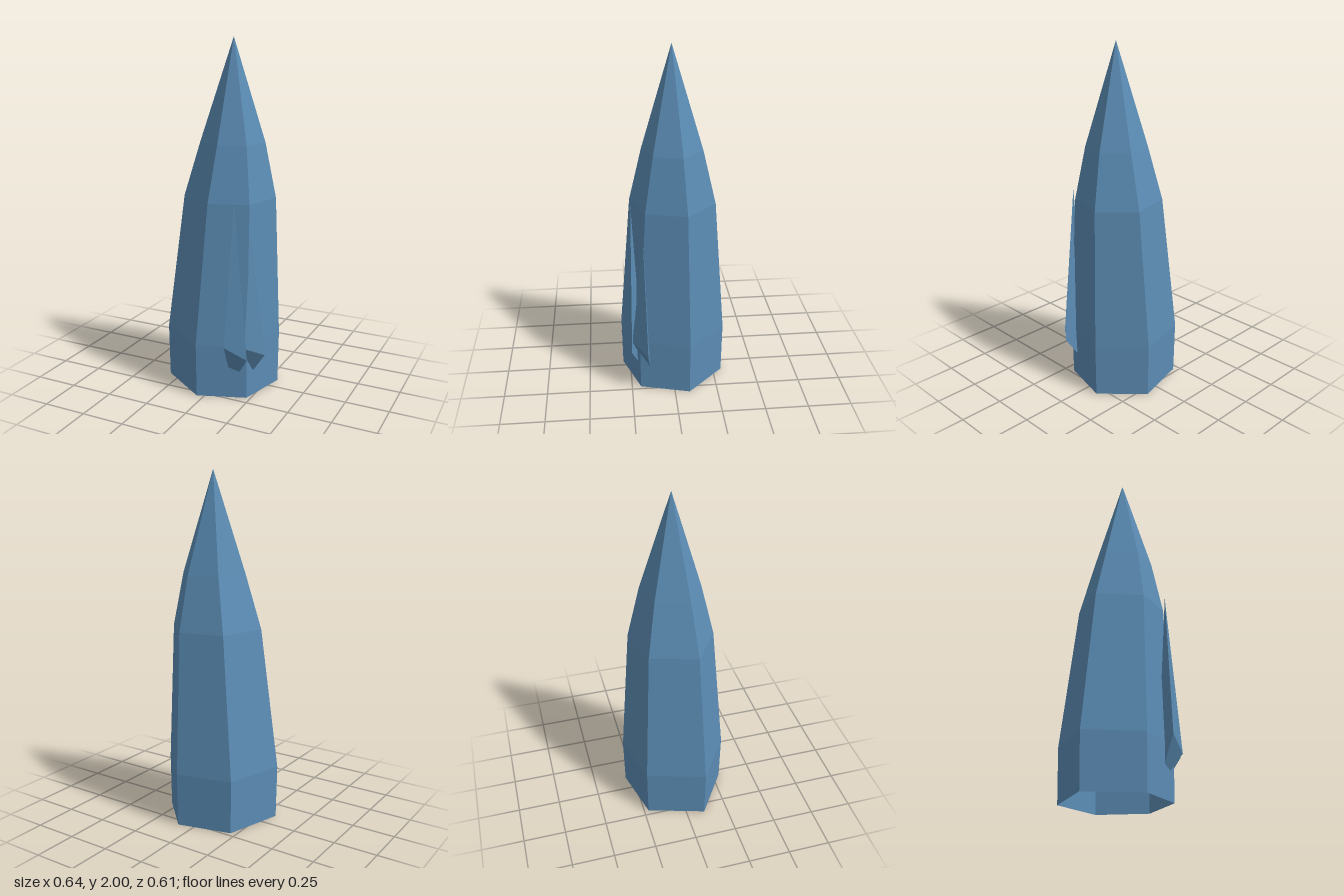
import * as THREE from 'three';

// Flat-shaded mesh from a list of triangles, each three [x, y, z] points
function facetMesh(name, triangles, material) {
  const geometry = new THREE.BufferGeometry();
  geometry.setAttribute('position', new THREE.Float32BufferAttribute(triangles.flat(2), 3));
  geometry.computeVertexNormals();
  const mesh = new THREE.Mesh(geometry, material);
  mesh.name = name;
  return mesh;
}

// Irregular six-sided column, open below, lofted from scaled outlines to a tip
function createColumn(material) {
  const outline = [
    [-0.228, -0.227], [0.087, -0.305], [0.299, -0.087],
    [0.222, 0.2], [-0.05, 0.298], [-0.331, 0.11],
  ];
  // height, scale, sideways shift
  const levels = [
    [0, 0.985, 0.008], [0.31, 1, 0.008], [1.12, 0.79, 0.045], [1.43, 0.553, 0.057], [2, 0, 0.05],
  ];
  const rings = levels.map(([y, s, dx]) => outline.map(([x, z]) => [x * s + dx, y, z * s]));
  const triangles = [];
  for (let r = 0; r < rings.length - 1; r++) {
    for (let i = 0; i < outline.length; i++) {
      const j = (i + 1) % outline.length;
      const [low, high] = [rings[r], rings[r + 1]];
      triangles.push([low[j], low[i], high[i]]);
      if (levels[r + 1][1] > 0) triangles.push([low[j], high[i], high[j]]);
    }
  }
  return facetMesh('crystalColumn', triangles, material);
}

// Three-sided splinter with a slanted base whose back corner sinks into the column
function createShard(name, tip, left, right, back, material) {
  return facetMesh(name, [
    [tip, left, right], [tip, right, back], [tip, back, left], [left, back, right],
  ], material);
}

export function createModel() {
  const crystal = new THREE.MeshStandardMaterial({ color: 0x5b8cb4 });
  crystal.name = 'blue crystal';
  crystal.flatShading = true;
  crystal.side = THREE.DoubleSide;

  const model = new THREE.Group();
  model.name = 'crystalSpire';
  model.add(
    createColumn(crystal),
    createShard('frontShard', [0.165, 1.15, 0.235], [0.135, 0.33, 0.302],
      [0.25, 0.255, 0.247], [0.128, 0.06, 0.175], crystal),
    createShard('sideShard', [0.235, 0.96, 0.173], [0.232, 0.32, 0.243],
      [0.32, 0.265, 0.157], [0.175, 0.05, 0.13], crystal),
  );
  return model;
}
